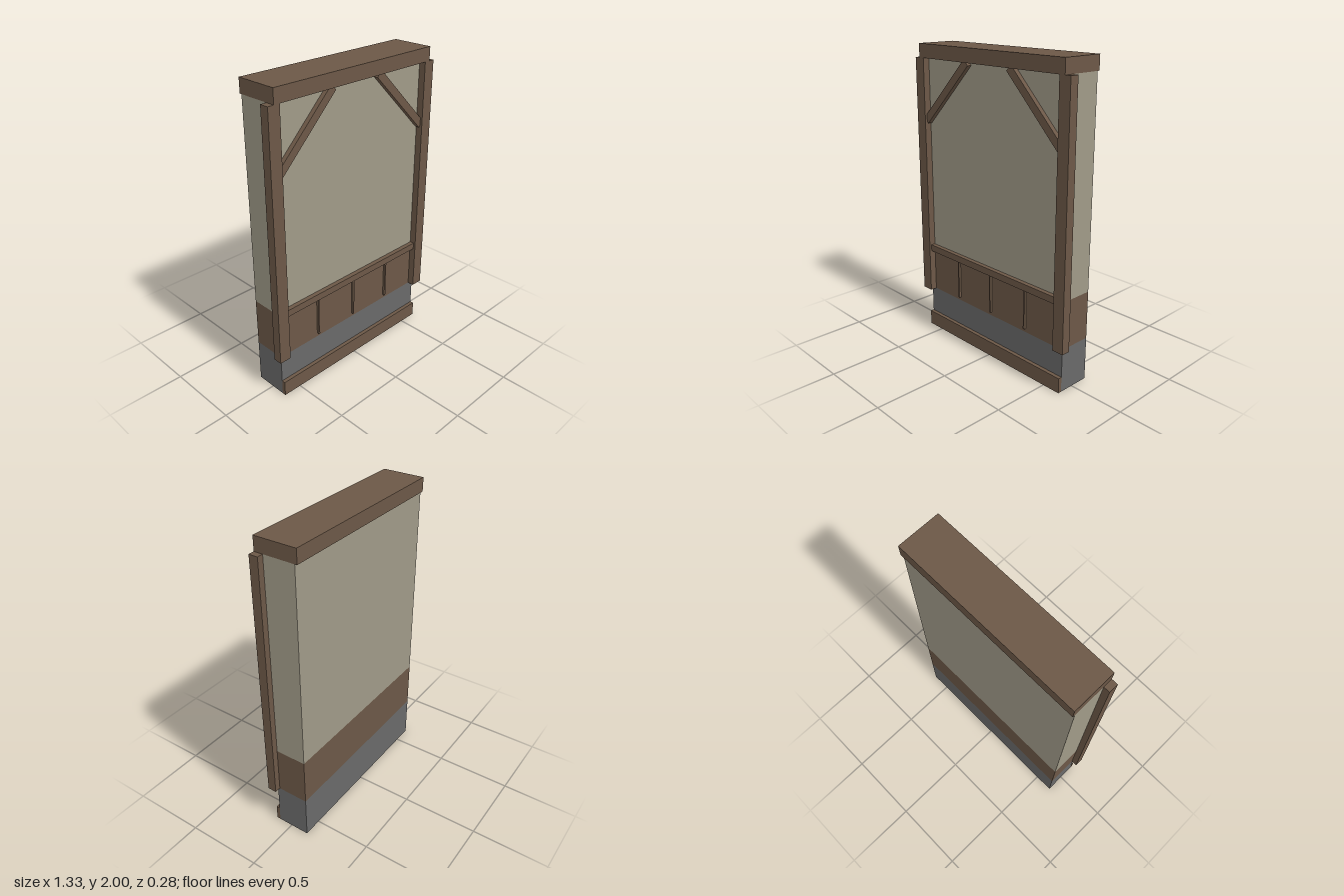
import * as THREE from 'three';

export function createModel() {
  const group = new THREE.Group();
  const material = (name, color) => {
    const m = new THREE.MeshStandardMaterial({ color });
    m.name = name;
    return m;
  };
  const wood = material('brown wood', 0x6c5847);
  const plaster = material('cream plaster', 0xa09a88);
  const stone = material('grey stone', 0x696969);

  // Box given by its minimum and maximum on each axis
  const box = (name, mat, [x0, x1], [y0, y1], [z0, z1]) => {
    const mesh = new THREE.Mesh(new THREE.BoxGeometry(x1 - x0, y1 - y0, z1 - z0), mat);
    mesh.position.set((x0 + x1) / 2, (y0 + y1) / 2, (z0 + z1) / 2);
    mesh.name = name;
    group.add(mesh);
    return mesh;
  };

  // Wall core in three stacked bands
  const width = [-0.625, 0.625];
  const back = -0.125, front = 0.095;
  box('stoneFooting', stone, width, [0, 0.285], [back, front]);
  box('lowerWall', wood, width, [0.285, 0.597], [back, front]);
  box('plasterWall', plaster, width, [0.597, 1.91], [back, front]);

  // Horizontal timbers
  box('baseBoard', wood, width, [0, 0.1], [front, 0.12]);
  box('middleRail', wood, [-0.585, 0.585], [0.58, 0.625], [front - 0.01, 0.125]);
  box('topBeam', wood, width, [1.91, 2], [-0.14, 0.14]);

  // Thin battens dividing the wainscot into four panels
  for (const x of [-0.3125, 0, 0.3125]) {
    box('panelBatten', wood, [x - 0.006, x + 0.006], [0.31, 0.58], [front - 0.01, 0.11]);
  }

  // Corner posts and diagonal braces, mirrored
  for (const [side, s] of [['left', 1], ['right', -1]]) {
    const post = box(side + 'Post', wood, [-0.04, 0.04], [0.285, 1.91], [0.081, 0.14]);
    post.position.x = s * 0.625;
    const brace = box(side + 'Brace', wood, [-0.287, 0.287], [-0.0255, 0.0255], [front - 0.01, 0.125]);
    brace.position.x = s * 0.389;
    brace.position.y = 1.707;
    brace.rotation.z = -s * Math.PI / 4;
  }
  return group;
}
